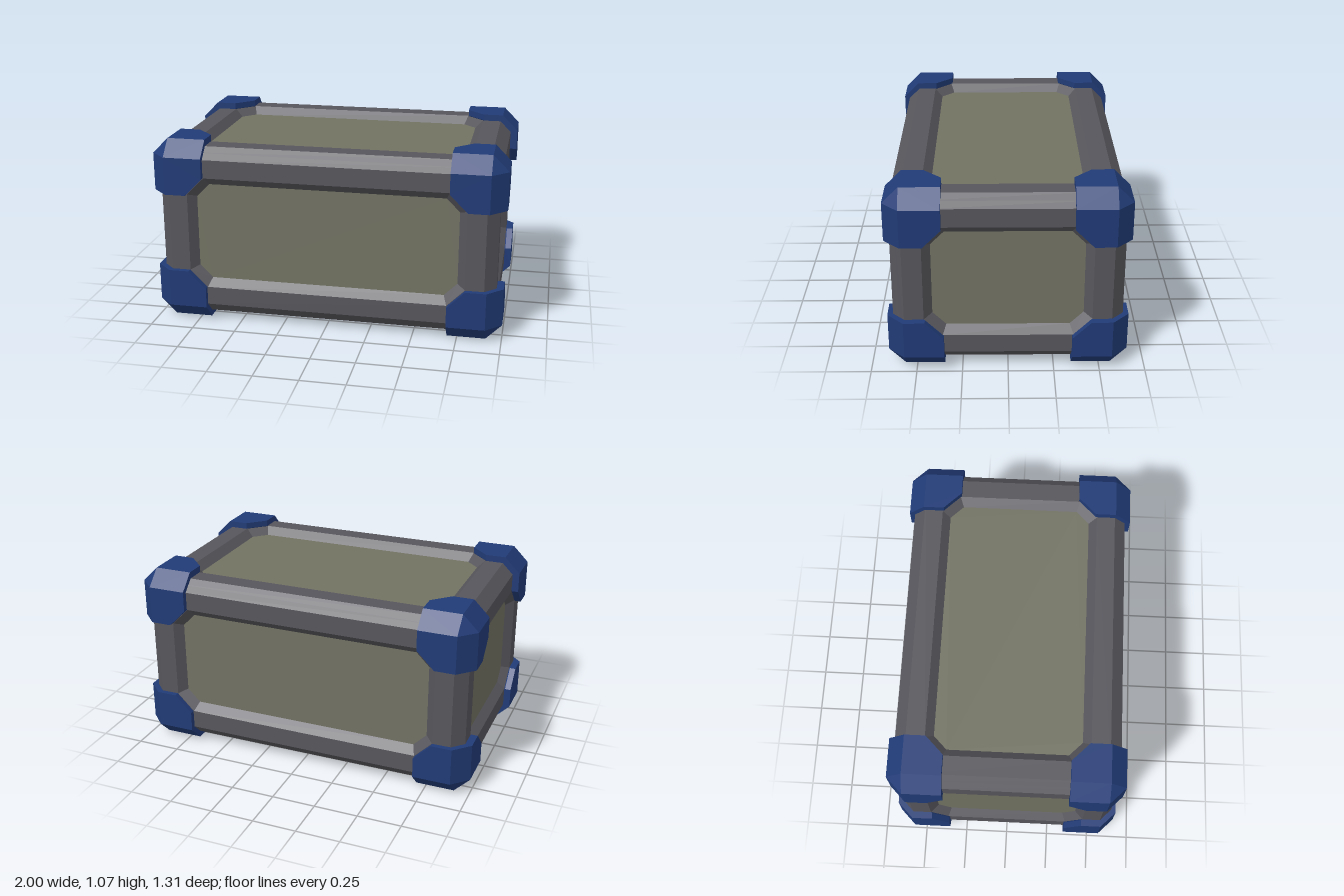
import * as THREE from 'three';
import { ConvexGeometry } from 'three/addons/geometries/ConvexGeometry.js';

const FRAME = [0.96, 0.4975, 0.625]; // half sizes of the frame
const CORNER = [1.0, 0.535, 0.655]; // half sizes over the corner guards
const EDGE = 0.064; // outer chamfer of the frame
const RIM = 0.17, BEVEL = 0.045; // rim width and slope down to the panel

const material = (color) => new THREE.MeshStandardMaterial({ color, flatShading: true });

// Counter-clockwise rectangle (half sizes a, b) with cut corners
function octagon(a, b, cut) {
  return [
    [a, cut - b], [a, b - cut], [a - cut, b], [cut - a, b],
    [-a, b - cut], [-a, cut - b], [cut - a, -b], [a - cut, -b],
  ];
}

// Bands joining nested octagons: half chamfer, flat rim, slope to the panel
function rimGeometry(a, b, h) {
  const rings = [[EDGE / 2, EDGE / 2, 0.1], [EDGE, 0, 0.1], [RIM, 0, 0.1], [RIM + BEVEL, BEVEL, 0.074]]
    .map(([inset, depth, cut]) => octagon(a - inset, b - inset, cut).map(([x, y]) => [x, y, h - depth]));
  const pos = [];
  for (let r = 0; r < rings.length - 1; r++) {
    for (let i = 0; i < 8; i++) {
      const j = (i + 1) % 8, o = rings[r], n = rings[r + 1];
      pos.push(...o[i], ...o[j], ...n[j], ...o[i], ...n[j], ...n[i]);
    }
  }
  const g = new THREE.BufferGeometry();
  g.setAttribute('position', new THREE.Float32BufferAttribute(pos, 3));
  g.computeVertexNormals();
  return g;
}

// Corner guard: three pentagonal plates with chamfered edges between them
function cornerGeometry(sx, sy, sz) {
  const c = 0.09, len = 0.307, cut = 0.1, thick = 0.035;
  const outline = [[c, c], [len, c], [len, len - cut], [len - cut, len], [c, len]];
  const signs = [sx, sy, sz];
  const points = [];
  for (let axis = 0; axis < 3; axis++) {
    outline.forEach(([p, q], k) => {
      for (const depth of k === 0 ? [0] : [0, thick]) {
        // chamfer ends stay on the surface; only the inner edges go down
        if (depth && (k === 1 || k === 4)) continue;
        const d = [0, 0, 0];
        d[axis] = depth;
        d[(axis + 1) % 3] = p;
        d[(axis + 2) % 3] = q;
        points.push(new THREE.Vector3(...d.map((v, i) => signs[i] * (CORNER[i] - v))));
      }
    });
  }
  return new ConvexGeometry(points);
}

export function createModel() {
  const model = new THREE.Group();
  model.name = 'crate';
  const body = new THREE.Group();
  body.name = 'body';
  body.position.y = CORNER[1];
  model.add(body);

  const frameMat = material(0x57565c);
  const panelMat = material(0x727263);
  const cornerMat = material(0x213b76);

  const add = (parent, geometry, mat, name) => {
    const mesh = new THREE.Mesh(geometry, mat);
    mesh.name = name;
    parent.add(mesh);
  };

  // Six sides, each a frame rim around a recessed panel
  const names = [['leftSide', 'rightSide'], ['topSide', 'bottomSide'], ['frontSide', 'backSide']];
  const unit = (i, s) => new THREE.Vector3().setComponent(i, s);
  for (let n = 0; n < 3; n++) {
    const u = (n + 1) % 3, v = (n + 2) % 3;
    const [a, b, h] = [FRAME[u], FRAME[v], FRAME[n]];
    const inset = RIM + BEVEL;
    const shape = new THREE.Shape(octagon(a - inset, b - inset, 0.074).map((p) => new THREE.Vector2(...p)));
    const rim = rimGeometry(a, b, h);
    const panel = new THREE.ShapeGeometry(shape).translate(0, 0, h - BEVEL);
    [1, -1].forEach((s, k) => {
      const side = new THREE.Group();
      side.name = names[n][k];
      side.quaternion.setFromRotationMatrix(
        new THREE.Matrix4().makeBasis(unit(u, s), unit(v, 1), unit(n, s)));
      add(side, rim, frameMat, 'frameRim');
      add(side, panel, panelMat, 'panel');
      body.add(side);
    });
  }

  // Eight corner guards
  for (const x of [1, -1]) for (const y of [1, -1]) for (const z of [1, -1]) {
    const name = (y > 0 ? 'top' : 'bottom') + (z > 0 ? 'Front' : 'Back') + (x > 0 ? 'Left' : 'Right') + 'Corner';
    add(body, cornerGeometry(x, y, z), cornerMat, name);
  }
  return model;
}
